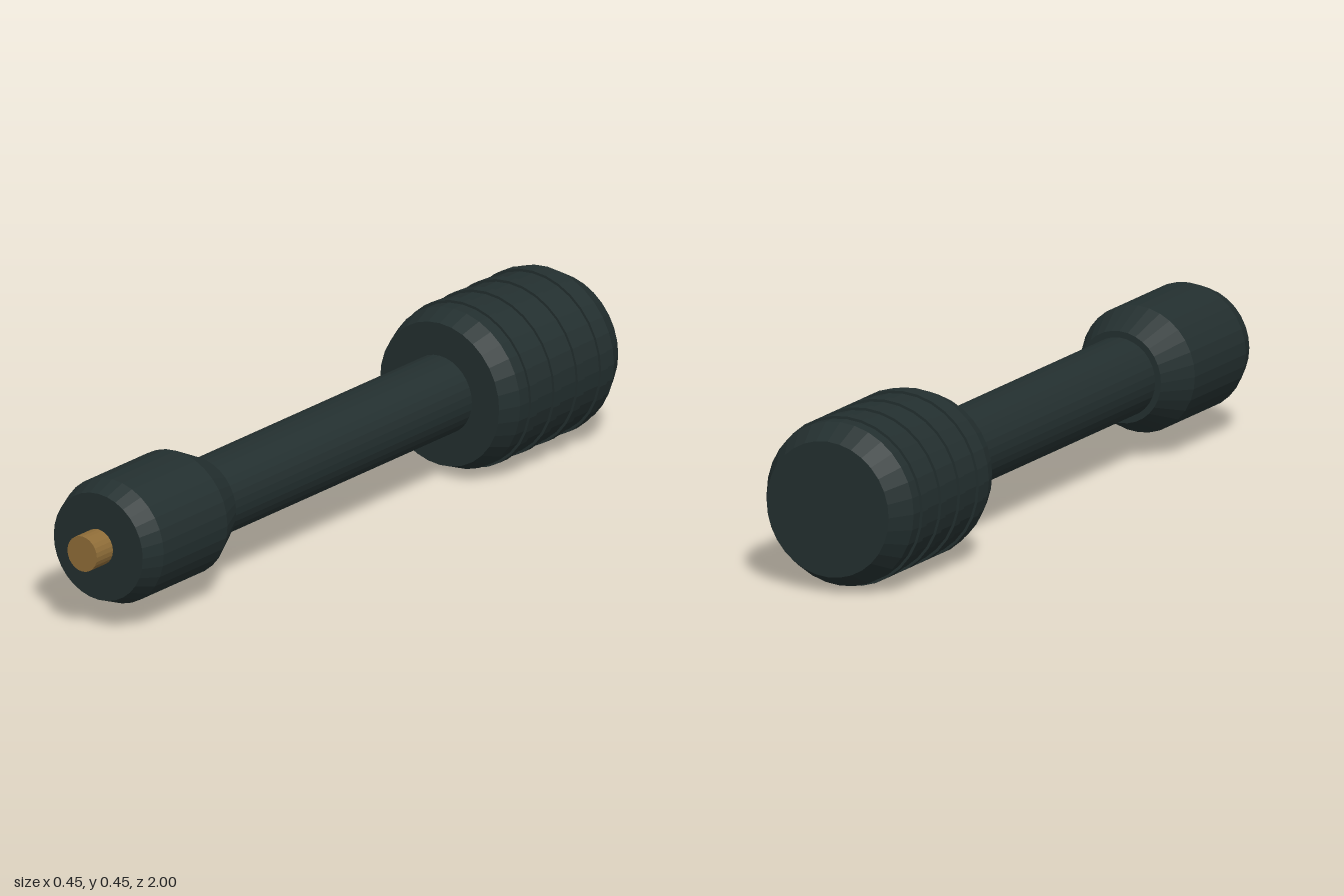
import * as THREE from 'three';

const AXIS_Y = 0.225;

export function createModel() {
  const model = new THREE.Group();
  model.name = 'handTool';

  const dark = new THREE.MeshStandardMaterial({ color: 0x232f2f, flatShading: true });
  dark.name = 'dark casing';
  const brass = new THREE.MeshStandardMaterial({ color: 0x8f6d38, flatShading: true });
  brass.name = 'brass';

  // Turned part lying along z; profile is [radius, z] from back to front
  function turned(name, profile, material, sides = 32) {
    const points = profile.map(([r, z]) => new THREE.Vector2(r, z));
    const geometry = new THREE.LatheGeometry(points, sides).rotateX(Math.PI / 2);
    const mesh = new THREE.Mesh(geometry, material);
    mesh.name = name;
    mesh.position.y = AXIS_Y;
    model.add(mesh);
  }

  // Thick rear grip with chamfered ends
  turned('grip', [[0, -1], [0.18, -1], [0.217, -0.935], [0.217, -0.545], [0.194, -0.487], [0, -0.487]], dark);

  // Raised bands around the grip
  for (let i = 0; i < 4; i++) {
    const z = -0.887 + i * 0.097;
    turned('gripRing' + (i + 1), [[0.2, z - 0.014], [0.224, z - 0.014], [0.224, z + 0.014], [0.2, z + 0.014]], dark);
  }

  // Long slim shaft
  turned('shaft', [[0, -0.5], [0.105, -0.5], [0.105, 0.53], [0, 0.53]], dark);

  // Front collar, tapering back to the shaft
  turned('collar', [[0, 0.515], [0.122, 0.515], [0.168, 0.61], [0.168, 0.875], [0.145, 0.933], [0, 0.933]], dark);

  // Short contact pin at the tip
  turned('pin', [[0, 0.92], [0.048, 0.92], [0.048, 1], [0, 1]], brass, 24);

  return model;
}
